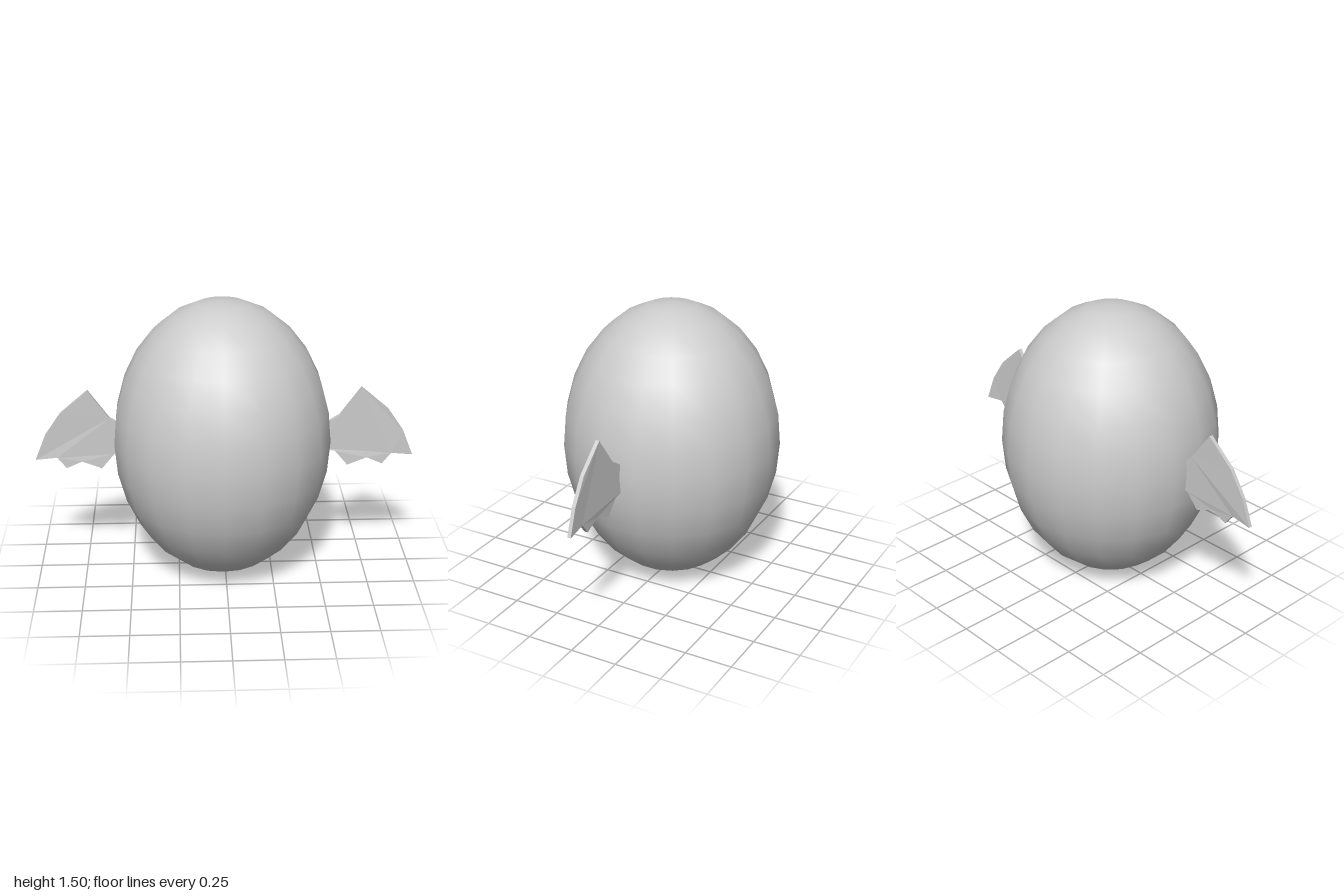
import * as THREE from 'three';

// Wing outline for the +x side, running from the buried root over the tip and back
const WING = [
  [0.48, 0.74], [0.535, 0.82], [0.605, 0.865], [0.715, 1.02], [0.86, 0.895], [0.945, 0.77], [1.0, 0.632],
  [0.885, 0.645], [0.838, 0.585], [0.755, 0.622], [0.652, 0.58], [0.585, 0.66], [0.5, 0.675],
];
const THICKNESS = 0.02;

function makeWing(side, material) {
  const shape = new THREE.Shape(WING.map(([x, y]) => new THREE.Vector2(side * x, y)));
  const geometry = new THREE.ExtrudeGeometry(shape, { depth: THICKNESS, bevelEnabled: false });
  // Bow the thin plate gently forward between root and tip
  const p = geometry.attributes.position;
  for (let i = 0; i < p.count; i++) {
    const t = (Math.abs(p.getX(i)) - 0.77) / 0.23;
    p.setZ(i, p.getZ(i) - THICKNESS / 2 - 0.009 * Math.min(t * t, 1));
  }
  geometry.computeVertexNormals();
  const wing = new THREE.Mesh(geometry, material);
  wing.name = side > 0 ? 'leftWing' : 'rightWing';
  return wing;
}

export function createModel() {
  const group = new THREE.Group();
  group.name = 'wingedEgg';
  const grey = new THREE.MeshStandardMaterial({ color: 0xcccccc });
  grey.name = 'light grey';

  // Smooth egg body, turned so that a seam of vertices lies on the z axis
  const bodyGeometry = new THREE.SphereGeometry(1, 18, 14);
  bodyGeometry.rotateY(Math.PI / 2);
  bodyGeometry.scale(0.572, 0.748, 0.572);
  const body = new THREE.Mesh(bodyGeometry, grey);
  body.name = 'body';
  body.position.set(-0.015, 0.75, -0.002);
  group.add(body);

  // Pair of wings
  for (const side of [1, -1]) group.add(makeWing(side, grey));
  return group;
}
